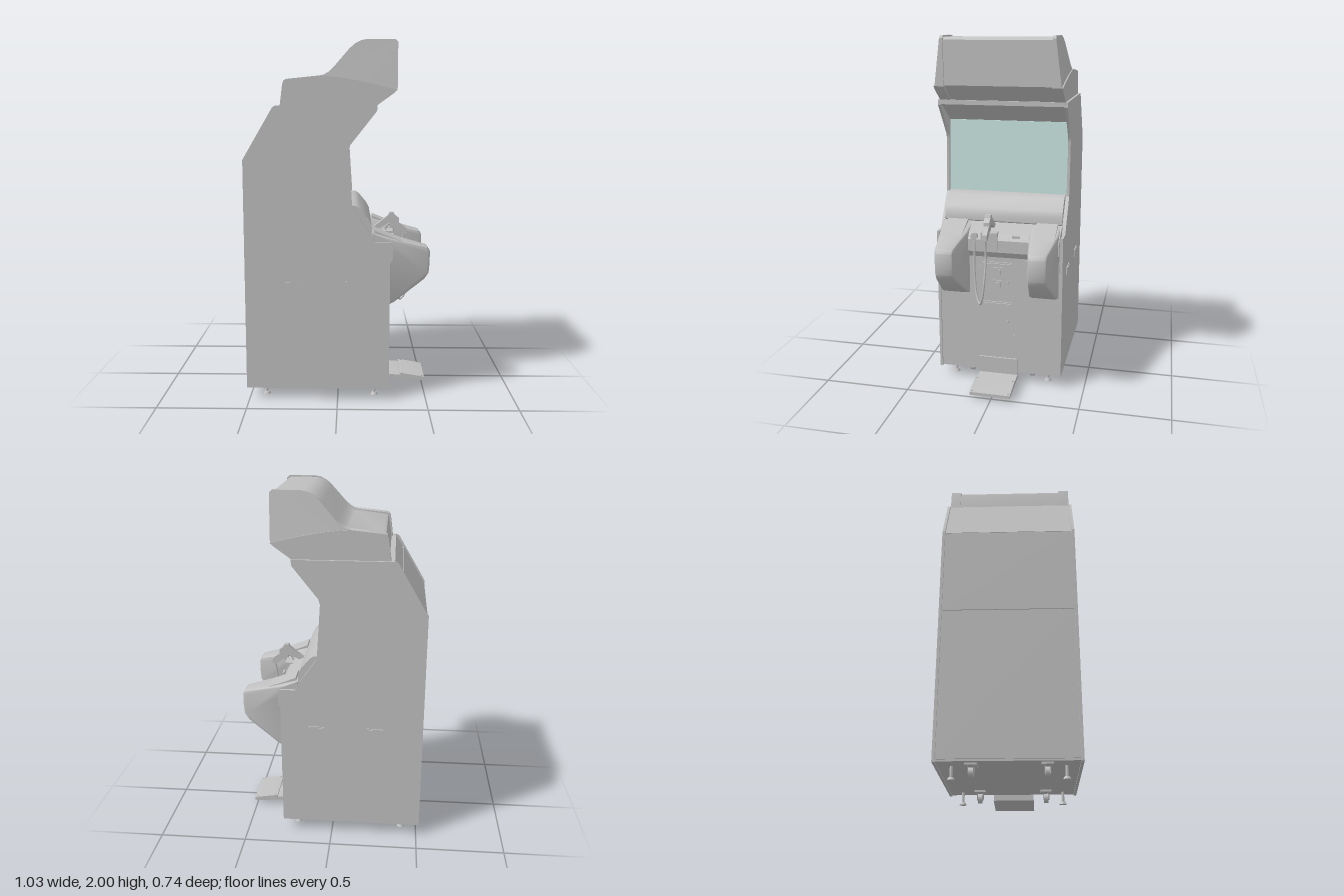
import * as THREE from 'three';
import { toCreasedNormals } from 'three/addons/utils/BufferGeometryUtils.js';

const grey = new THREE.MeshStandardMaterial({ color: 0xc0c0c0 });
grey.name = 'cabinet grey';
const teal = new THREE.MeshStandardMaterial({ color: 0xc2dedb });
teal.name = 'screen teal';

export function createModel() {
  const model = new THREE.Group();
  model.name = 'arcadeCabinet';

  const add = (name, geo, mat = grey, x = 0, y = 0, z = 0) => {
    const m = new THREE.Mesh(geo, mat);
    m.name = name;
    m.position.set(x, y, z);
    model.add(m);
    return m;
  };
  // Box given by its limits
  const box = (name, x0, x1, y0, y1, z0, z1, mat) =>
    add(name, new THREE.BoxGeometry(x1 - x0, y1 - y0, z1 - z0), mat, (x0 + x1) / 2, (y0 + y1) / 2, (z0 + z1) / 2);
  // Side profile (x, y) extruded from z0 to z1
  const toShape = (pts) => new THREE.Shape(pts.map(([x, y]) => new THREE.Vector2(x, y)));
  const extrude = (pts, z0, z1, steps = 1) =>
    new THREE.ExtrudeGeometry(toShape(pts), { depth: z1 - z0, bevelEnabled: false, steps }).translate(0, 0, z0);
  const slab = (name, pts, z0, z1) => add(name, toCreasedNormals(extrude(pts, z0, z1), 0.5));
  const tube = (name, pts, r) => add(name, new THREE.TubeGeometry(
    new THREE.CatmullRomCurve3(pts.map((p) => new THREE.Vector3(...p))), 40, r, 8));

  // Cabinet: two side panels and the inner body with its screen recess
  const side = [[-0.515, 0.065], [0.29, 0.065], [0.29, 0.91], [0.205, 0.91], [0.185, 0.95], [0.08, 1.1],
    [0.06, 1.41], [0.068, 1.44], [0.21, 1.62], [0.21, 1.65], [-0.335, 1.65], [-0.35, 1.64], [-0.515, 1.36]];
  slab('leftSidePanel', side, 0.35, 0.365);
  slab('rightSidePanel', side, -0.365, -0.35);
  slab('body', [[-0.505, 0.07], [0.28, 0.07], [0.28, 0.9], [0.2, 0.9], [0.18, 0.95], [0.06, 1.1],
    [0.03, 1.52], [0.2, 1.63], [0.2, 1.648], [-0.33, 1.648], [-0.505, 1.35]], -0.35, 0.35);
  slab('screen', [[0.06, 1.105], [0.066, 1.105], [0.036, 1.52], [0.03, 1.52]], -0.348, 0.348).material = teal;
  box('soffitLip', 0.19, 0.212, 1.625, 1.65, -0.35, 0.35);
  slab('screenSill', [[0.06, 1.09], [0.075, 1.11], [0.1, 1.108], [0.12, 1.095], [0.17, 1.035], [0.187, 1.0],
    [0.19, 0.96], [0.17, 0.93]], -0.343, 0.343);

  // Rear doors
  box('lowerBackDoor', -0.513, -0.504, 0.08, 0.865, -0.345, 0.345);
  box('upperBackDoor', -0.511, -0.504, 0.875, 1.35, -0.345, 0.345);
  slab('slopedBackDoor', [[-0.511, 1.352], [-0.504, 1.345], [-0.37, 1.575], [-0.376, 1.582]], -0.345, 0.345);

  // Hood: inset middle between two caps whose upper part leans inward
  const seam = [];
  for (let i = 0; i <= 8; i++) {
    const x = -0.1 + (0.42 * i) / 8;
    seam.push([x, 1.808 - 0.075 * (i / 8) ** 1.5]);
  }
  const seamY = (x) => 1.808 - 0.075 * (Math.max(0, x + 0.1) / 0.42) ** 1.5;
  const crown = [[0.322, 1.985], [0.308, 2], [0.16, 2], [0.125, 1.993], [0.09, 1.975], [0.06, 1.947],
    [-0.02, 1.855], [-0.05, 1.827], [-0.075, 1.813]];
  const rear = [[-0.275, 1.79], [-0.288, 1.783], [-0.295, 1.765], [-0.31, 1.65]];
  slab('hoodMiddle', [[-0.302, 1.65], [0.2, 1.65], [0.312, 1.738],
    ...crown.map(([x, y]) => [x - 0.008, y - 0.008]), ...rear.map(([x, y]) => [x + 0.008, Math.max(1.65, y - 0.008)])
      .slice(0, 3)], -0.298, 0.298);
  for (const s of [1, -1]) {
    const name = s > 0 ? 'left' : 'right';
    const [a, b] = s > 0 ? [0.295, 0.352] : [-0.352, -0.295];
    slab(name + 'HoodLowerCap', [[-0.31, 1.65], [0.21, 1.65], [0.3, 1.715], [0.32, 1.733],
      ...seam.slice(0, -1).reverse(), ...rear.slice(0, 3)], a, b);
    const g = extrude([...seam, ...crown], a, b);
    const p = g.attributes.position;
    for (let i = 0; i < p.count; i++) {
      if (Math.abs(p.getZ(i)) > 0.32) {
        p.setZ(i, s * (0.346 - 0.13 * Math.max(0, p.getY(i) - seamY(p.getX(i)))));
      }
    }
    g.computeVertexNormals();
    add(name + 'HoodUpperCap', toCreasedNormals(g, 0.5));
  }

  // Control shelf and the block that holds the light gun
  slab('controlShelf', [[0.2, 0.9], [0.27, 0.775], [0.285, 0.775], [0.306, 0.81], [0.306, 0.88], [0.285, 0.915],
    [0.19, 0.955]], -0.345, 0.345);
  box('gunHolder', 0.22, 0.318, 0.83, 0.925, 0.005, 0.1);
  box('shelfButton', 0.3, 0.312, 0.9, 0.915, -0.125, -0.08);

  // Tapered armrest pods
  const pod = [[0.2, 0.94], [0.2, 0.9], [0.285, 0.87], [0.285, 0.56], [0.305, 0.57], [0.475, 0.7], [0.495, 0.73],
    [0.5, 0.78], [0.5, 0.845], [0.49, 0.86], [0.3, 0.91]];
  for (const s of [1, -1]) {
    const g = new THREE.ExtrudeGeometry(toShape(pod), {
      depth: 0.13, bevelThickness: 0.02, bevelSize: 0.014, bevelSegments: 2 }).translate(0, 0, -0.065);
    const p = g.attributes.position;
    for (let i = 0; i < p.count; i++) {
      const k = 1 - 0.4 * Math.max(0, p.getX(i) - 0.28) / 0.235;
      p.setZ(i, s * (0.258 + s * p.getZ(i) * k));
    }
    g.computeVertexNormals();
    add(s > 0 ? 'leftPod' : 'rightPod', toCreasedNormals(g, 0.6));
    // Raised rear of the pod top
    slab('podRidge', [[0.2, 0.94], [0.36, 0.895], [0.36, 0.908], [0.26, 0.945], [0.205, 0.968]],
      s * 0.262 - 0.06, s * 0.262 + 0.06);
  }

  // Light gun resting on its holder, with its cable
  slab('gunBarrel', [[0.205, 0.945], [0.225, 0.93], [0.3, 0.97], [0.355, 0.975], [0.355, 0.995], [0.33, 1.015],
    [0.325, 1.03], [0.3, 1.03], [0.29, 1.012]], 0.038, 0.072);
  slab('gunGrip', [[0.3, 0.98], [0.3, 0.945], [0.34, 0.93], [0.38, 0.9], [0.402, 0.905], [0.4, 0.935], [0.355, 0.97]],
    0.042, 0.068);
  add('triggerGuard', new THREE.TorusGeometry(0.024, 0.005, 6, 16), grey, 0.3, 0.935, 0.055);
  tube('gunCable', [[0.385, 0.905, 0.055], [0.375, 0.8, 0.055], [0.405, 0.64, 0.06], [0.395, 0.55, 0.075],
    [0.365, 0.515, 0.095], [0.335, 0.55, 0.12], [0.315, 0.65, 0.135], [0.31, 0.8, 0.138], [0.3, 0.9, 0.138]], 0.006);
  const knob = add('cableSocket', new THREE.CylinderGeometry(0.02, 0.02, 0.02, 16), grey, 0.31, 0.9, 0.138);
  knob.rotation.z = Math.PI / 2;

  // Coin door and cash door with slots, lock and bolts
  const door = (name, y0, y1) => {
    box(name + 'Frame', 0.28, 0.286, y0, y1, -0.075, 0.1);
    box(name, 0.284, 0.292, y0 + 0.008, y1 - 0.008, -0.067, 0.092);
    for (const y of [y0 + 0.03, y1 - 0.03]) for (const z of [-0.09, 0.115]) {
      const b = add('doorBolt', new THREE.CylinderGeometry(0.006, 0.006, 0.01, 8), grey, 0.284, y, z);
      b.rotation.z = Math.PI / 2;
    }
    const lock = add('doorLock', new THREE.CylinderGeometry(0.009, 0.009, 0.012, 12), grey, 0.294, (y0 + y1) / 2, -0.05);
    lock.rotation.z = Math.PI / 2;
  };
  door('coinDoor', 0.51, 0.745);
  door('cashDoor', 0.27, 0.505);
  for (const y of [0.692, 0.615]) {
    box('coinSlotPlate', 0.29, 0.298, y - 0.026, y + 0.026, -0.022, 0.032);
    box('coinSlotButton', 0.296, 0.303, y - 0.015, y + 0.015, -0.01, 0.02);
  }
  box('servicePanel', 0.28, 0.286, 0.55, 0.77, -0.345, -0.14);

  // Foot rest
  box('footRestBracket', 0.284, 0.294, 0.05, 0.155, -0.11, 0.12);
  slab('footRestBase', [[0.27, 0.035], [0.5, 0.018], [0.512, 0.02], [0.512, 0.035], [0.38, 0.05], [0.27, 0.058]],
    -0.11, 0.12);
  slab('footRestTread', [[0.37, 0.045], [0.515, 0.022], [0.515, 0.04], [0.385, 0.062], [0.37, 0.062]], -0.112, 0.122);
  for (const z of [-0.1, 0.11]) for (const x of [0.385, 0.5])
    add('treadBolt', new THREE.CylinderGeometry(0.005, 0.005, 0.006, 8), grey, x, x < 0.4 ? 0.063 : 0.044, z);

  // Recessed side handles: frame with a grip bar
  for (const s of [1, -1]) for (const x of [-0.25, 0.09]) {
    const z = s * 0.366;
    box('handleFrame', x - 0.05, x + 0.05, 0.645, 0.69, z - 0.004, z + 0.004);
    box('handleGrip', x - 0.042, x + 0.042, 0.667, 0.684, z - 0.006, z + 0.006);
  }

  // Casters and levelling feet
  for (const z of [0.19, -0.18]) for (const x of [-0.45, 0.175]) {
    const wheel = add('casterWheel', new THREE.CylinderGeometry(0.026, 0.026, 0.024, 20), grey, x, 0.027, z);
    wheel.rotation.x = Math.PI / 2;
    for (const d of [-0.016, 0.016]) slab('casterFork', [[x - 0.01, 0.02], [x + 0.012, 0.02], [x + 0.035, 0.06],
      [x - 0.03, 0.06]], z + d - 0.002, z + d + 0.002);
    box('casterPlate', x - 0.04, x + 0.04, 0.058, 0.068, z - 0.03, z + 0.03);
  }
  for (const z of [0.285, -0.28]) for (const x of [-0.41, 0.21]) {
    add('levellerStem', new THREE.CylinderGeometry(0.008, 0.008, 0.06, 10), grey, x, 0.04, z);
    add('levellerFoot', new THREE.CylinderGeometry(0.014, 0.021, 0.014, 16), grey, x, 0.007, z);
  }
  return model;
}
